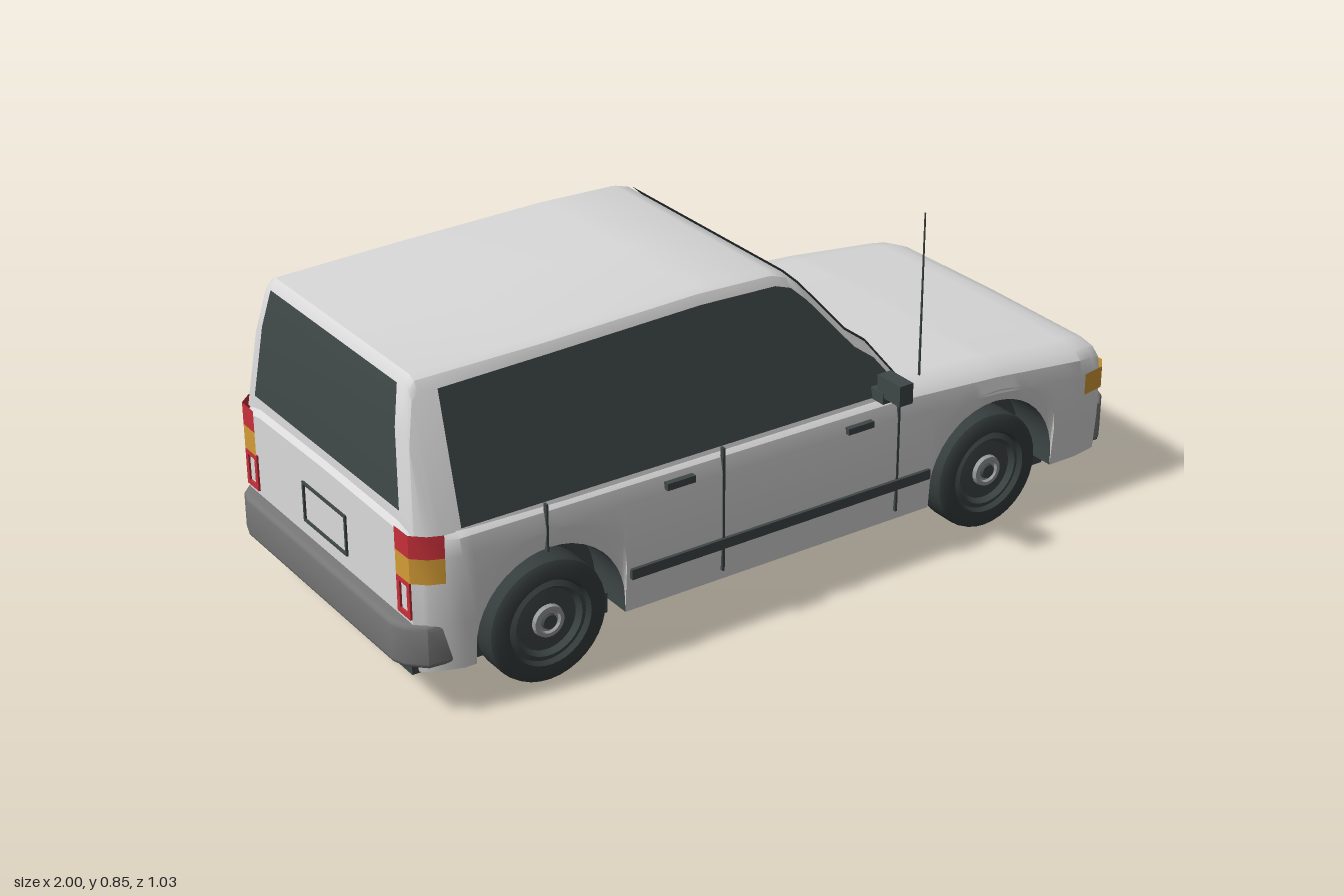
import * as THREE from 'three';
import { toCreasedNormals } from 'three/addons/utils/BufferGeometryUtils.js';

const material = (name, color, side = THREE.FrontSide) =>
  new THREE.MeshStandardMaterial({ name, color, side });

// linear interpolation in a small table of [x, value]
function at(table, x) {
  if (x <= table[0][0]) return table[0][1];
  for (let i = 1; i < table.length; i++) {
    const [x0, v0] = table[i - 1], [x1, v1] = table[i];
    if (x <= x1) return v0 + (v1 - v0) * (x - x0) / (x1 - x0);
  }
  return table[table.length - 1][1];
}

// skin over rows of equally many points
function surface(rows, crease = 0.6) {
  const n = rows[0].length, index = [];
  for (let i = 0; i < rows.length - 1; i++)
    for (let j = 0; j < n - 1; j++) {
      const a = i * n + j;
      index.push(a, a + n, a + 1, a + 1, a + n, a + n + 1);
    }
  const g = new THREE.BufferGeometry();
  g.setAttribute('position', new THREE.Float32BufferAttribute(rows.flat(2), 3));
  g.setIndex(index);
  return toCreasedNormals(g, crease);
}

// mirrored half sections along x, closed at both ends
function loft(xs, section) {
  const rows = xs.map(x => {
    const half = section(x);
    const other = half.map(([y, z]) => [y, -z]).reverse();
    return [...half, ...other].map(([y, z]) => [x, y, z]);
  });
  const flat = r => r.map(([x, y]) => [x, y, 0]);
  return surface([flat(rows[0]), ...rows, flat(rows[rows.length - 1])]);
}

// outlines along the length
const bodyWidth = [[-0.968, 0.38], [-0.94, 0.405], [-0.87, 0.43], [0.86, 0.43], [0.93, 0.418], [0.957, 0.39]];
const bodyTop = [[-0.968, 0.44], [-0.95, 0.46], [0.3, 0.452], [0.6, 0.432], [0.9, 0.4], [0.935, 0.388], [0.957, 0.365]];
const cabinTop = [[-0.957, 0.47], [-0.94, 0.66], [-0.92, 0.755], [-0.905, 0.772], [-0.6, 0.779], [-0.2, 0.79],
  [0, 0.785], [0.04, 0.772], [0.08, 0.735], [0.19, 0.605], [0.24, 0.568], [0.33, 0.45]];
const wheelX = [-0.65, 0.59], wheelY = 0.15, archR = 0.19;
const cabinSide = y => 0.415 - (y - 0.46) * 0.26;
const taper = x => at(bodyWidth, x) / 0.43;

function bottom(x) {
  for (const c of wheelX) {
    const d = Math.abs(x - c);
    if (d <= archR + 1e-6) return wheelY + Math.sqrt(Math.max(0, archR * archR - d * d));
  }
  return 0.115;
}

export function createModel() {
  const car = new THREE.Group();
  car.name = 'car';
  const paint = material('white paint', 0xdadada);
  const dark = material('dark trim', 0x3f4747, THREE.DoubleSide);
  const tyreMat = material('tyre rubber', 0x363d3d);
  const bumperMat = material('bumper grey', 0x777777);
  const amber = material('amber lamp', 0xd49c35, THREE.DoubleSide);
  const red = material('red lamp', 0xc8303a, THREE.DoubleSide);
  const metal = material('hub metal', 0x9a9e9e);

  const add = (name, geo, mat, parent = car) => {
    const m = new THREE.Mesh(geo, mat);
    m.name = name;
    parent.add(m);
    return m;
  };
  // box given by its limits
  const box = (name, mat, x0, x1, y0, y1, z0, z1) =>
    add(name, new THREE.BoxGeometry(x1 - x0, y1 - y0, Math.abs(z1 - z0)), mat)
      .position.set((x0 + x1) / 2, (y0 + y1) / 2, (z0 + z1) / 2);
  // upright strip following [x, z] points
  const ribbon = (name, mat, pts, y0, y1) =>
    add(name, surface(pts.map(([x, z]) => [[x, y0, z], [x, y1, z]])), mat);

  // lower body with open wheel arches
  const xs = bodyTop.concat(bodyWidth).map(p => p[0]);
  for (let x = -0.9; x < 0.86; x += 0.1) xs.push(x);
  for (const c of wheelX) {
    for (let i = 0; i <= 20; i++) xs.push(c + archR * Math.cos(i * Math.PI / 20));
    xs.push(c - archR - 0.001, c + archR + 0.001);
  }
  const cols = [...new Set(xs.map(x => +x.toFixed(5)))].sort((a, b) => a - b);
  add('body', loft(cols, x => {
    const w = at(bodyWidth, x), t = at(bodyTop, x), b = bottom(x);
    return [[b, w - 0.008], [b + 0.35 * (t - b), w], [t - 0.07, w], [t - 0.03, w - 0.008],
      [t - 0.009, w - 0.03], [t, w - 0.075], [t + 0.004, 0]];
  }), paint);
  add('underside', surface(cols.map(x => {
    const w = at(bodyWidth, x) - 0.008;
    return [[x, bottom(x), -w], [x, bottom(x), w]];
  })), dark);
  box('floor', dark, -0.94, 0.94, 0.112, 0.3, -0.3, 0.3);
  for (const x of [-0.81, -0.49, 0.44, 0.79]) box('crossMember', dark, x - 0.03, x + 0.03, 0.08, 0.13, -0.35, 0.35);

  // cabin and its glass
  add('cabin', loft(cabinTop.map(p => p[0]), x => {
    const t = at(cabinTop, x), k = taper(x), low = Math.max(0.44, t - 0.03);
    return [[0.44, cabinSide(0.44) * k], [low, cabinSide(low) * k], [t - 0.008, (cabinSide(t) - 0.006) * k],
      [t, (cabinSide(t) - 0.025) * k], [t, 0]];
  }), paint);
  const glassX = [-0.865, -0.6, -0.2, 0, 0.04, 0.08, 0.19, 0.24, 0.29];
  for (const s of [1, -1])
    add('sideWindow', surface(glassX.map(x => {
      const y = Math.max(0.458, at(cabinTop, x) - 0.027);
      return [[x, 0.452, s * (cabinSide(0.452) + 0.004)], [x, y, s * (cabinSide(y) + 0.004)]];
    })), dark);
  const pane = (name, list, dx, inset) => add(name, surface(list.map(x => {
    const y = at(cabinTop, x), z = cabinSide(y) * taper(x) - inset;
    return [[x + dx, y + 0.003, z], [x + dx, y + 0.003, -z]];
  })), dark);
  pane('windscreen', [0.043, 0.08, 0.19, 0.24, 0.328], 0.005, 0.03);
  pane('rearWindow', [-0.956, -0.94, -0.921], -0.006, 0.04);

  // bumpers
  const plan = [[0.9, 0.405], [0.945, 0.4], [0.98, 0.365], [0.99, 0.335]];
  const outline = [...plan, ...plan.map(([x, z]) => [x, -z]).reverse()].map(p => new THREE.Vector2(...p));
  const bumperGeo = toCreasedNormals(new THREE.ExtrudeGeometry(new THREE.Shape(outline), {
    depth: 0.08, bevelSize: 0.01, bevelThickness: 0.012, bevelSegments: 3,
  }).rotateX(Math.PI / 2).translate(0, 0.222, 0), 0.7);
  add('frontBumper', bumperGeo, bumperMat);
  add('rearBumper', bumperGeo, bumperMat).rotation.y = Math.PI;
  for (const s of [1, -1]) box('bumperSkirt', dark, s * 0.94 - 0.035, s * 0.94 + 0.035, 0.112, 0.135, -0.38, 0.38);
  box('frontPlate', paint, 0.998, 1.0, 0.14, 0.228, -0.09, 0.09);

  // rectangular frame on the nose or tail
  const frame = (name, mat, x, y0, y1, z0, z1, t) => {
    const a = x - 0.003, b = x + 0.003;
    box(name, mat, a, b, y0, y0 + t, z0, z1);
    box(name, mat, a, b, y1 - t, y1, z0, z1);
    box(name, mat, a, b, y0, y1, z0, z0 + t);
    box(name, mat, a, b, y0, y1, z1 - t, z1);
  };
  frame('rearPlateFrame', dark, -0.97, 0.27, 0.37, -0.1, 0.1, 0.006);
  box('grilleBar', dark, 0.955, 0.962, 0.32, 0.329, -0.13, 0.13);
  box('grilleBar', dark, 0.955, 0.962, 0.301, 0.31, -0.12, 0.12);
  box('grilleCentre', paint, 0.955, 0.964, 0.305, 0.322, -0.02, 0.02);

  for (const s of [1, -1]) {
    // lamps
    frame('headlamp', dark, 0.959, 0.275, 0.352, s > 0 ? 0.143 : -0.285, s > 0 ? 0.285 : -0.143, 0.007);
    ribbon('frontIndicator', amber, [[0.962, s * 0.29], [0.961, s * 0.392], [0.933, s * 0.423], [0.87, s * 0.434]], 0.285, 0.34);
    const tail = [[-0.973, s * 0.325], [-0.972, s * 0.382], [-0.942, s * 0.41], [-0.908, s * 0.424]];
    ribbon('tailLamp', red, tail, 0.395, 0.45);
    ribbon('rearIndicator', amber, tail, 0.335, 0.395);
    frame('reverseLamp', red, -0.97, 0.245, 0.335, s > 0 ? 0.325 : -0.38, s > 0 ? 0.38 : -0.325, 0.012);

    // side trim, door gaps and handles
    const side = (name, x0, x1, y0, y1, out) => box(name, dark, x0, x1, y0, y1, s * 0.42, s * out);
    side('sideMoulding', -0.45, 0.39, 0.2, 0.225, 0.438);
    side('doorGap', -0.663, -0.658, 0.335, 0.45, 0.4315);
    side('doorGap', -0.203, -0.197, 0.14, 0.45, 0.4315);
    side('doorGap', 0.292, 0.298, 0.14, 0.445, 0.4315);
    side('doorHandle', -0.357, -0.282, 0.394, 0.411, 0.44);
    side('doorHandle', 0.142, 0.215, 0.386, 0.402, 0.44);

    // door mirror
    box('mirrorStalk', dark, 0.222, 0.27, 0.45, 0.478, s * 0.4, s * 0.46);
    box('mirror', dark, 0.224, 0.262, 0.466, 0.517, s * 0.435, s * 0.517);

    // wheels
    for (const x of wheelX) {
      const wheel = new THREE.Group();
      wheel.name = 'wheel';
      wheel.position.set(x, wheelY, s * 0.32);
      wheel.rotation.x = s * Math.PI / 2;
      car.add(wheel);
      const lathe = pts => toCreasedNormals(new THREE.LatheGeometry(pts.map(p => new THREE.Vector2(...p)), 36), 0.6);
      add('tyre', lathe([[0, 0], [0.135, 0], [0.147, 0.008], [0.15, 0.02], [0.15, 0.08], [0.147, 0.09],
        [0.135, 0.098], [0.105, 0.098], [0.098, 0.086]]), tyreMat, wheel);
      add('rim', lathe([[0.098, 0.086], [0.085, 0.092], [0.075, 0.08], [0.04, 0.084], [0, 0.084]]), dark, wheel);
      add('hub', lathe([[0.04, 0.083], [0.037, 0.094], [0.028, 0.094], [0.025, 0.088], [0, 0.088]]), metal, wheel);
      add('hubCap', new THREE.CylinderGeometry(0.017, 0.02, 0.012, 16), dark, wheel).position.y = 0.09;
    }
  }

  // aerial
  add('aerial', new THREE.CylinderGeometry(0.002, 0.003, 0.42, 8), dark).position.set(0.4, 0.64, 0.37);
  return car;
}
